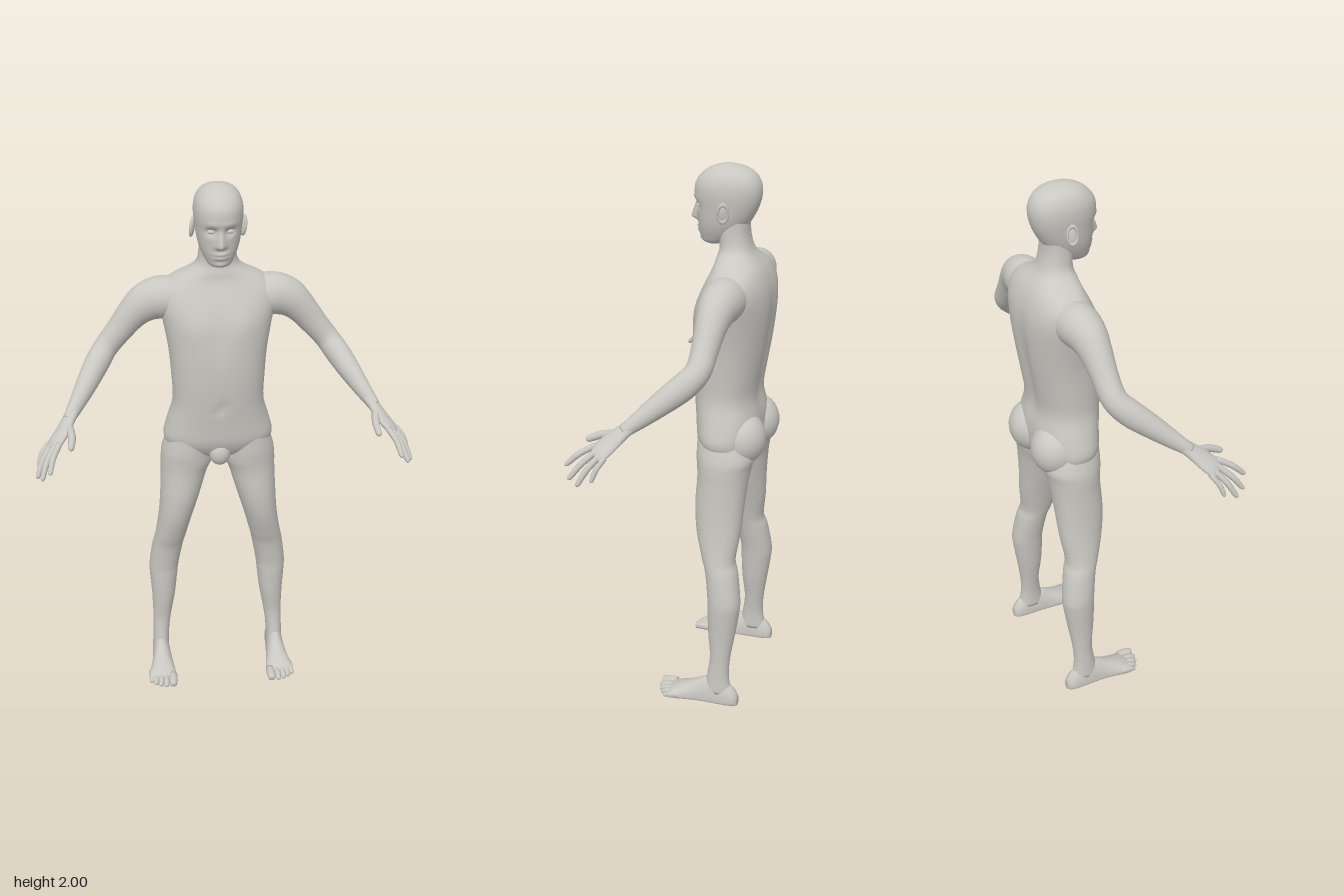
import * as THREE from 'three';

const skin = new THREE.MeshStandardMaterial({ color: 0xc9c7c1 });
skin.name = 'pale grey';

const V = (x, y, z) => new THREE.Vector3(x, y, z);
const bump = (d, w) => Math.exp(-(d * d) / (w * w));

// Smoothly resample a table of cross-section rows
function resample(rows, steps) {
  const out = [], n = rows.length - 1;
  for (let s = 0; s <= n * steps; s++) {
    const i = Math.min(Math.floor(s / steps), n - 1), t = s / steps - i;
    const a = rows[Math.max(i - 1, 0)], b = rows[i], c = rows[i + 1], d = rows[Math.min(i + 2, n)];
    out.push(b.map((_, k) => 0.5 * (2 * b[k] + (c[k] - a[k]) * t
      + (2 * a[k] - 5 * b[k] + 4 * c[k] - d[k]) * t * t
      + (3 * b[k] - a[k] - 3 * c[k] + d[k]) * t * t * t)));
  }
  return out;
}

// Skin a list of closed rings, close both ends and make the faces point outwards
function skinRings(name, rings, side = 1) {
  const pos = [], idx = [], m = rings[0].length, n = rings.length;
  rings.forEach(r => r.forEach(p => pos.push(p.x * side, p.y, p.z)));
  for (let i = 0; i < n - 1; i++) {
    for (let j = 0; j < m; j++) {
      const a = i * m + j, b = i * m + (j + 1) % m;
      idx.push(a, b, a + m, b, b + m, a + m);
    }
  }
  [0, n - 1].forEach((r, e) => {
    const c = V(0, 0, 0);
    rings[r].forEach(p => c.addScaledVector(p, 1 / m));
    pos.push(c.x * side, c.y, c.z);
    for (let j = 0; j < m; j++) {
      const a = r * m + j, b = r * m + (j + 1) % m;
      if (e) idx.push(a, b, n * m + 1); else idx.push(b, a, n * m);
    }
  });
  let volume = 0;
  const at = i => V(pos[3 * i], pos[3 * i + 1], pos[3 * i + 2]);
  for (let i = 0; i < idx.length; i += 3) volume += at(idx[i]).dot(at(idx[i + 1]).cross(at(idx[i + 2])));
  if (volume < 0) idx.reverse();
  const g = new THREE.BufferGeometry();
  g.setAttribute('position', new THREE.Float32BufferAttribute(pos, 3));
  g.setIndex(idx);
  g.computeVertexNormals();
  const mesh = new THREE.Mesh(g, skin);
  mesh.name = name;
  return mesh;
}

// Upright form; rows are [y, centre x, half width, front z, back z]
function upright(name, rows, { side = 1, segs = 32, steps = 4, power = 2, shape } = {}) {
  const e = 2 / power;
  const rings = resample(rows, steps).map(([y, cx, hw, zf, zb]) => Array.from({ length: segs }, (_, j) => {
    const a = j / segs * Math.PI * 2, c = Math.cos(a), s = Math.sin(a);
    const p = V(cx + hw * Math.sign(c) * Math.abs(c) ** e, y,
      (zf + zb) / 2 + (zf - zb) / 2 * Math.sign(s) * Math.abs(s) ** e);
    if (shape) shape(p, s);
    return p;
  }));
  return skinRings(name, rings, side);
}

// Limb along a path; rows are [x, y, z, radius along hint, radius across]
function limb(name, rows, hint, side, segs = 20, steps = 4) {
  const r = resample(rows, steps);
  const rings = r.map((q, i) => {
    const a = r[Math.max(i - 1, 0)], b = r[Math.min(i + 1, r.length - 1)];
    const t = V(b[0] - a[0], b[1] - a[1], b[2] - a[2]).normalize();
    const u = hint.clone().addScaledVector(t, -hint.dot(t)).normalize(), w = t.clone().cross(u);
    return Array.from({ length: segs }, (_, j) => {
      const k = j / segs * Math.PI * 2;
      return V(q[0], q[1], q[2]).addScaledVector(u, Math.cos(k) * q[3]).addScaledVector(w, Math.sin(k) * q[4]);
    });
  });
  return skinRings(name, rings, side);
}

// Finger or toe: root, middle, tip and radius, rounded at the end
function digit(name, a, b, c, r, side) {
  const row = (p, k) => [p.x, p.y, p.z, r * k, r * k];
  return limb(name, [row(a, 1), row(b, 1), row(b.clone().lerp(c, 0.75), 0.85),
    row(b.clone().lerp(c, 0.93), 0.6), row(c, 0.12)], V(0.3, 1, 0.1), side, 10, 3);
}

function ellipsoid(name, x, y, z, rx, ry, rz) {
  const mesh = new THREE.Mesh(new THREE.SphereGeometry(1, 24, 16), skin);
  mesh.name = name;
  mesh.position.set(x, y, z);
  mesh.scale.set(rx, ry, rz);
  return mesh;
}

export function createModel() {
  const body = new THREE.Group();
  body.name = 'humanFigure';

  // Torso and neck, with chest, navel and spine modelling
  body.add(upright('torso', [
    [0.955, 0, 0.03, -0.09, -0.17], [0.975, 0, 0.1, -0.06, -0.2], [1.0, 0, 0.175, -0.035, -0.225],
    [1.05, 0, 0.203, -0.012, -0.235], [1.12, 0, 0.188, -0.004, -0.235], [1.2, 0, 0.167, 0.005, -0.222],
    [1.3, 0, 0.17, 0.013, -0.236], [1.4, 0, 0.178, 0.013, -0.252], [1.5, 0, 0.195, 0, -0.262],
    [1.57, 0, 0.21, -0.02, -0.26], [1.62, 0, 0.205, -0.042, -0.248], [1.66, 0, 0.165, -0.06, -0.23],
    [1.69, 0, 0.108, -0.066, -0.207], [1.72, 0, 0.074, -0.073, -0.187], [1.77, 0, 0.065, -0.07, -0.174],
    [1.83, 0, 0.063, -0.07, -0.172]], {
    segs: 56, power: 2.3, shape: (p, s) => {
      const x = Math.abs(p.x);
      if (s > 0) {
        p.z += 0.007 * bump(x - 0.085, 0.06) * bump(p.y - 1.51, 0.06);
        p.z -= 0.005 * bump(x, 0.02) * bump(p.y - 1.5, 0.1);
        p.z -= 0.01 * bump(x, 0.015) * bump(p.y - 1.2, 0.018);
      } else p.z += 0.014 * bump(x, 0.03) * bump(p.y - 1.36, 0.2);
    } }));
  body.add(ellipsoid('groin', 0, 1.0, -0.045, 0.04, 0.05, 0.036));

  // Head, with brow, eye sockets, nose, lips and chin shaped into the face
  body.add(upright('head', [
    [1.728, 0, 0.022, -0.025, -0.07], [1.738, 0, 0.04, -0.008, -0.1], [1.76, 0, 0.054, -0.001, -0.135],
    [1.79, 0, 0.067, 0.004, -0.162], [1.82, 0, 0.075, 0.007, -0.183], [1.86, 0, 0.081, 0.012, -0.203],
    [1.9, 0, 0.085, 0.018, -0.213], [1.935, 0, 0.083, 0.014, -0.211], [1.965, 0, 0.072, -0.006, -0.195],
    [1.985, 0, 0.053, -0.034, -0.167], [1.996, 0, 0.028, -0.066, -0.13], [2.0, 0, 0.006, -0.09, -0.104]], {
    segs: 80, steps: 6, power: 2.15, shape: (p, s) => {
      if (s <= 0) return;
      const x = Math.abs(p.x), y = p.y;
      p.z -= 0.014 * bump(x - 0.031, 0.018) * bump(y - 1.862, 0.014);
      p.z += 0.004 * bump(x - 0.028, 0.025) * bump(y - 1.886, 0.01);
      const n = THREE.MathUtils.clamp((1.875 - y) / 0.06, 0, 1);
      p.z += 0.028 * n * bump(x, 0.008 + 0.007 * n) * (y < 1.813 ? bump(y - 1.813, 0.009) : 1);
      p.z += 0.009 * bump(x, 0.024) * (bump(y - 1.784, 0.006) + bump(y - 1.769, 0.006));
      p.z += 0.005 * bump(x, 0.02) * bump(y - 1.744, 0.01);
    } }));

  const palmSide = V(0.045, -0.02, -0.055).normalize();
  for (const side of [1, -1]) {
    const part = label => (side > 0 ? 'left' : 'right') + label;

    // Eyes and ears
    body.add(ellipsoid(part('Eye'), side * 0.031, 1.861, -0.008, 0.014, 0.008, 0.01));
    const ear = new THREE.Group();
    ear.name = part('Ear');
    const rim = new THREE.Mesh(new THREE.TorusGeometry(0.024, 0.006, 8, 24), skin);
    rim.name = part('EarRim');
    rim.scale.set(0.72, 1.25, 1);
    ear.add(rim, ellipsoid(part('EarBowl'), 0, -0.004, -side * 0.003, 0.016, 0.03, 0.006));
    ear.position.set(side * 0.088, 1.85, -0.105);
    ear.rotation.set(0.12, Math.PI / 2 + side * 0.3, 0, 'YXZ');
    body.add(ear);

    // Buttock and leg
    body.add(ellipsoid(part('Buttock'), side * 0.088, 1.05, -0.178, 0.092, 0.098, 0.092));
    body.add(upright(part('Leg'), [
      [1.1, 0.1, 0.075, -0.03, -0.2], [1.0, 0.113, 0.096, -0.027, -0.235], [0.95, 0.117, 0.099, -0.031, -0.228],
      [0.9, 0.129, 0.088, -0.034, -0.22], [0.8, 0.146, 0.076, -0.031, -0.211], [0.7, 0.165, 0.065, -0.042, -0.205],
      [0.6, 0.186, 0.06, -0.07, -0.193], [0.55, 0.197, 0.06, -0.086, -0.206], [0.45, 0.213, 0.058, -0.1, -0.221],
      [0.4, 0.216, 0.055, -0.101, -0.22], [0.3, 0.219, 0.046, -0.105, -0.206], [0.2, 0.227, 0.036, -0.114, -0.191],
      [0.12, 0.233, 0.032, -0.105, -0.188], [0.05, 0.235, 0.033, -0.09, -0.2]], { side, power: 2.1 }));

    // Foot; rows are [z, centre x, half width, top y]
    const foot = resample([[-0.226, 0.236, 0.014, 0.04], [-0.215, 0.236, 0.025, 0.06], [-0.19, 0.236, 0.032, 0.085],
      [-0.14, 0.236, 0.035, 0.108], [-0.1, 0.235, 0.037, 0.102], [-0.05, 0.235, 0.043, 0.076],
      [0, 0.237, 0.052, 0.053], [0.035, 0.238, 0.055, 0.036], [0.055, 0.236, 0.045, 0.024]], 3);
    body.add(skinRings(part('Foot'), foot.map(([z, cx, hw, top]) => Array.from({ length: 24 }, (_, j) => {
      const a = j / 24 * Math.PI * 2, s = Math.sin(a);
      return V(cx + hw * Math.cos(a), s > 0 ? 0.018 + (top - 0.018) * s : 0.018 + 0.018 * Math.sign(s) * Math.abs(s) ** 0.6, z);
    })), side));
    [[0.198, 0.09, 0.017], [0.225, 0.09, 0.0115], [0.246, 0.083, 0.011], [0.265, 0.072, 0.0105], [0.282, 0.058, 0.01]]
      .forEach(([x, z, r], i) => body.add(digit(part('Toe' + (i + 1)),
        V(x, 0.022, z - 0.06), V(x, 0.021, z - 0.025), V(x + 0.002, r * 0.9, z), r, side)));

    // Arm from inside the shoulder to the wrist
    body.add(limb(part('Arm'), [
      [0.11, 1.575, -0.145, 0.07, 0.07], [0.19, 1.585, -0.142, 0.077, 0.074], [0.25, 1.57, -0.138, 0.071, 0.064],
      [0.3, 1.53, -0.135, 0.057, 0.053], [0.35, 1.47, -0.132, 0.048, 0.045], [0.4, 1.41, -0.124, 0.044, 0.043],
      [0.435, 1.365, -0.085, 0.046, 0.043], [0.47, 1.32, -0.03, 0.041, 0.038], [0.505, 1.275, 0.025, 0.032, 0.03],
      [0.53, 1.245, 0.063, 0.025, 0.024], [0.542, 1.23, 0.08, 0.022, 0.02]], V(0, 1, 0), side, 28));

    // Palm, four fingers and thumb
    body.add(limb(part('Palm'), [
      [0.52, 1.255, 0.05, 0.024, 0.022], [0.54, 1.232, 0.08, 0.028, 0.019], [0.565, 1.2, 0.115, 0.037, 0.017],
      [0.592, 1.172, 0.143, 0.038, 0.014], [0.603, 1.158, 0.157, 0.03, 0.009]], palmSide, side, 24));
    [[0.61, 1.113, 0.262], [0.64, 1.078, 0.24], [0.658, 1.068, 0.203], [0.655, 1.088, 0.153]].forEach((tip, i) => {
      const root = V(0.573, 1.184, 0.167).lerp(V(0.614, 1.163, 0.118), i / 3), end = V(...tip);
      const mid = root.clone().lerp(end, 0.5).add(V(0.005, 0.007, 0.002));
      body.add(digit(part('Finger' + (i + 1)), root, mid, end, i === 3 ? 0.009 : 0.0105, side));
    });
    body.add(digit(part('Thumb'), V(0.543, 1.222, 0.1), V(0.531, 1.205, 0.16), V(0.535, 1.18, 0.217), 0.0135, side));
  }
  return body;
}
